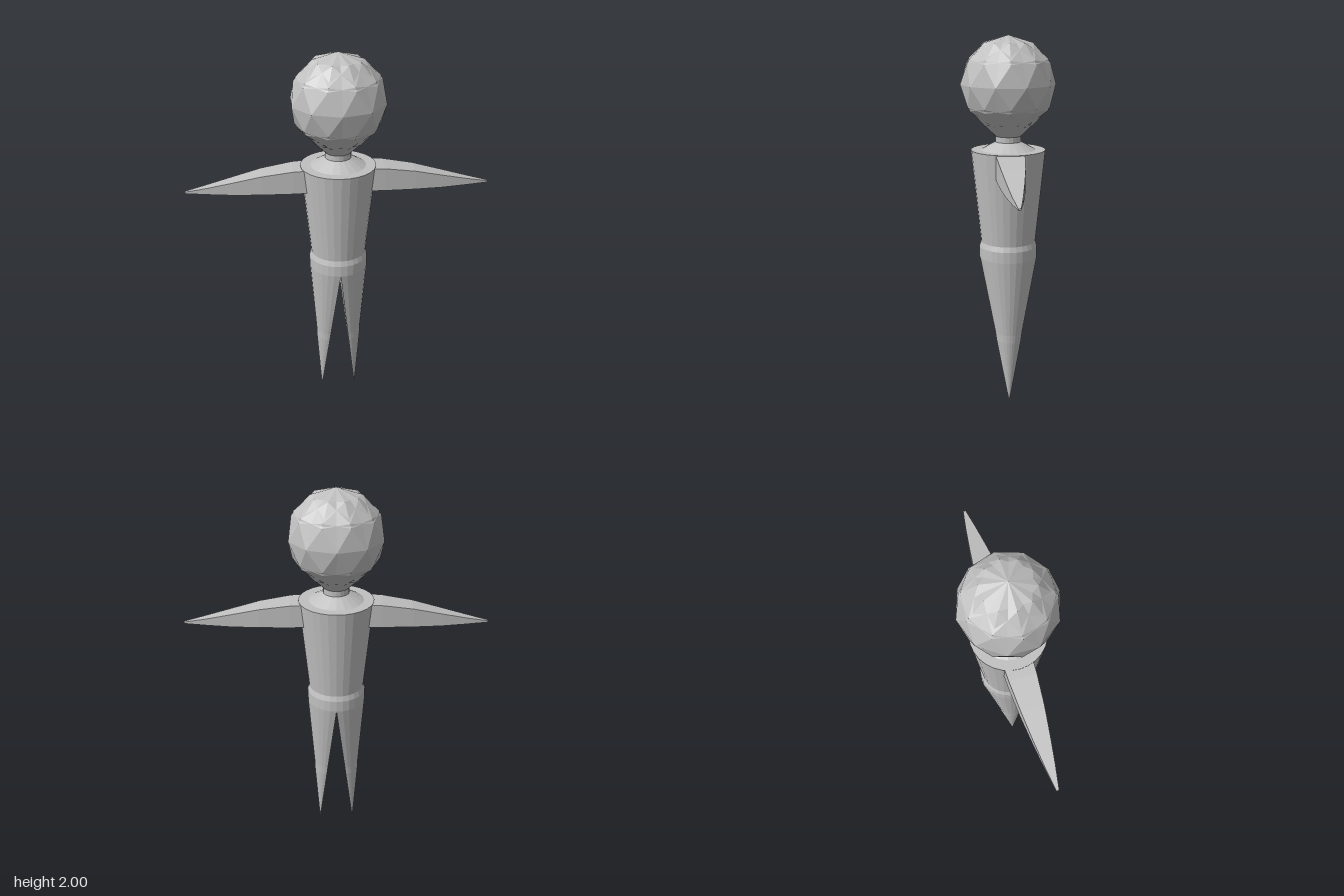
import * as THREE from 'three';

const grey = new THREE.MeshStandardMaterial({ color: 0xc0c0c0 });
grey.name = 'plain grey';

// Gives every face its own flat normal
function faceted(geometry) {
  const flat = geometry.index ? geometry.toNonIndexed() : geometry;
  flat.computeVertexNormals();
  return flat;
}

function part(name, geometry) {
  const mesh = new THREE.Mesh(faceted(geometry), grey);
  mesh.name = name;
  return mesh;
}

// Turned part from [radius, y] points, listed bottom to top
function turned(name, profile, sides) {
  return part(name, new THREE.LatheGeometry(profile.map(([r, y]) => new THREE.Vector2(r, y)), sides));
}

// Closed skin over equal-length rings of points, capped at both ends
function loft(rings) {
  const n = rings[0].length;
  const last = (rings.length - 1) * n;
  const index = [];
  for (let i = 0; i < rings.length - 1; i++) {
    for (let j = 0; j < n; j++) {
      const a = i * n + j, b = i * n + (j + 1) % n;
      index.push(a, a + n, b, b, a + n, b + n);
    }
  }
  for (let j = 1; j < n - 1; j++) {
    index.push(0, j, j + 1, last, last + j + 1, last + j);
  }
  const geometry = new THREE.BufferGeometry();
  geometry.setAttribute('position', new THREE.Float32BufferAttribute(rings.flat(2), 3));
  geometry.setIndex(index);
  return geometry;
}

// Rectangular arm section: [x, top, bottom, half depth]
function armGeometry() {
  return loft([
    [0.15, 1.407, 1.282, 0.075], [0.24, 1.402, 1.279, 0.072], [0.4, 1.377, 1.275, 0.06],
    [0.55, 1.341, 1.272, 0.043], [0.68, 1.31, 1.274, 0.026], [0.8, 1.284, 1.276, 0.007],
  ].map(([x, top, low, z]) => [[x, top, z], [x, top, -z], [x, low, -z], [x, low, z]]));
}

// Half-round leg section with a flat inner face: [y, radius]
function legGeometry() {
  const steps = 14;
  return loft([[0, 0.003], [0.35, 0.069], [0.395, 0.075], [0.82, 0.157]].map(([y, r]) => {
    const inner = 0.094 * (1 - y / 0.82);
    return Array.from({ length: steps + 1 }, (_, k) => {
      const a = -Math.PI / 2 + (Math.PI * k) / steps;
      return [inner + r * Math.cos(a), y, r * Math.sin(a)];
    });
  }));
}

export function createModel() {
  const model = new THREE.Group();
  model.name = 'figure';

  // Head: two faceted balls, half a turn apart, with a corner at the crown
  const head = new THREE.Group();
  head.name = 'head';
  for (const [name, turn] of [['headBall', 0], ['headBallTurned', Math.PI]]) {
    const ball = new THREE.IcosahedronGeometry(0.25, 1);
    ball.rotateZ(Math.atan(2 / (1 + Math.sqrt(5))));
    ball.rotateY(turn);
    head.add(part(name, ball));
  }
  head.position.y = 1.75;
  model.add(head);

  // Neck flares into the chin and the shoulders
  model.add(turned('neck', [[0.145, 1.408], [0.068, 1.45], [0.068, 1.48], [0.14, 1.55]], 20));

  // Body
  model.add(turned('torso', [[0.147, 0.9], [0.198, 1.408], [0, 1.408]], 28));
  model.add(turned('hips', [[0, 0.82], [0.157, 0.82], [0.157, 0.88], [0.147, 0.91]], 28));

  // Limbs, turned half round for the other side
  for (const [side, turn] of [['left', 0], ['right', Math.PI]]) {
    const arm = part(side + 'Arm', armGeometry());
    const leg = part(side + 'Leg', legGeometry());
    arm.rotation.y = leg.rotation.y = turn;
    model.add(arm, leg);
  }
  return model;
}
